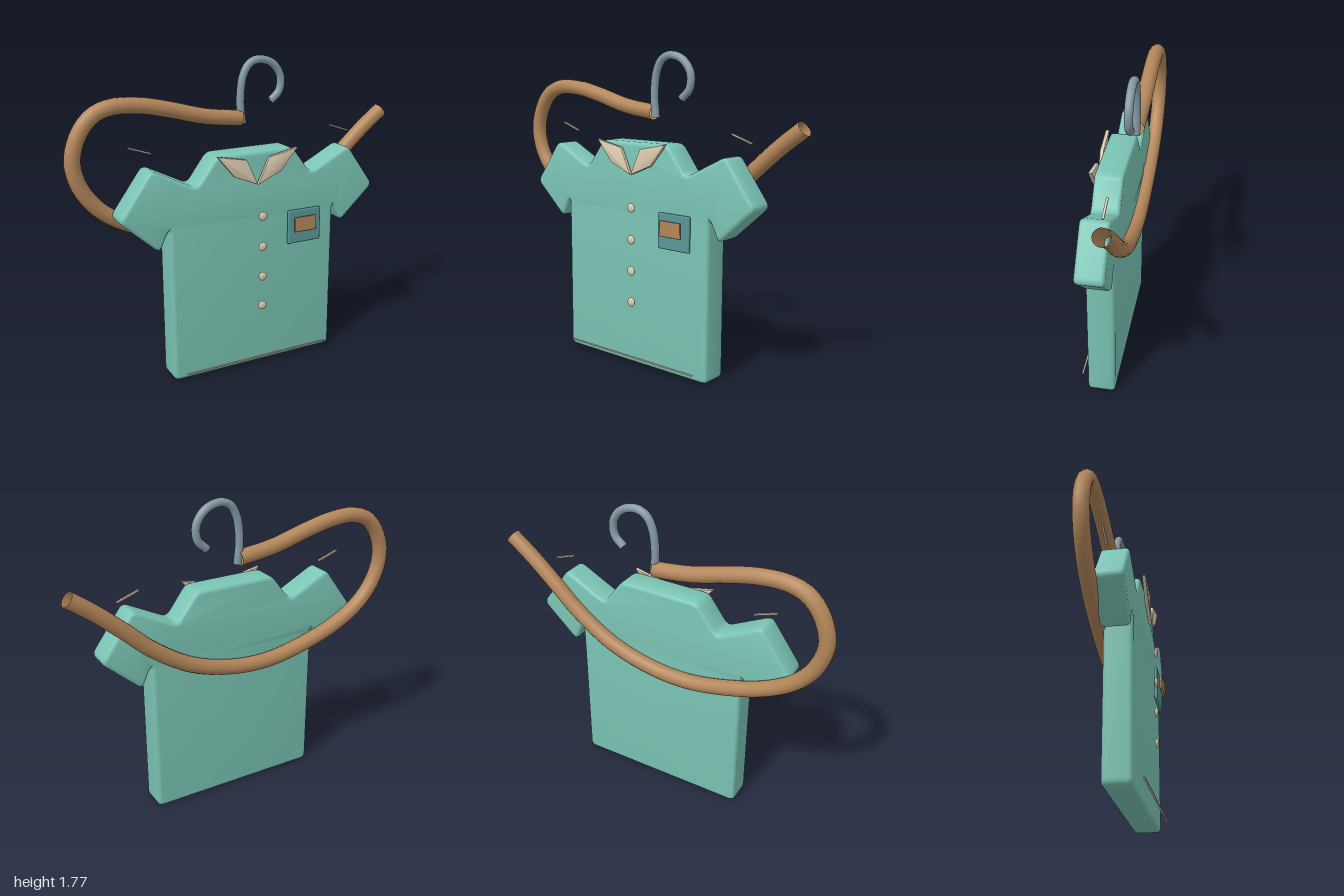
import * as THREE from 'three';
import { toCreasedNormals } from 'three/addons/utils/BufferGeometryUtils.js';
import { RoundedBoxGeometry } from 'three/addons/geometries/RoundedBoxGeometry.js';

const MID = 0.014; // centre line of the shirt

function material(name, color, side = THREE.FrontSide) {
  const m = new THREE.MeshStandardMaterial({ color, side });
  m.name = name;
  return m;
}

// Closed outline whose corners are eased by the length r
function outline(points, r) {
  const pts = points.map(([x, y]) => new THREE.Vector2(x, y));
  const shape = new THREE.Shape();
  pts.forEach((p, i) => {
    const prev = pts[(i + pts.length - 1) % pts.length];
    const next = pts[(i + 1) % pts.length];
    const a = p.clone().add(prev.clone().sub(p).setLength(r));
    const b = p.clone().add(next.clone().sub(p).setLength(r));
    if (i === 0) shape.moveTo(a.x, a.y);
    else shape.lineTo(a.x, a.y);
    shape.quadraticCurveTo(p.x, p.y, b.x, b.y);
  });
  shape.closePath();
  return shape;
}

// Extruded plate between two depths, with a soft bevel kept inside the outline
function plate(shape, z0, z1, bevel) {
  const geo = new THREE.ExtrudeGeometry(shape, {
    depth: z1 - z0 - 2 * bevel, curveSegments: 4,
    bevelThickness: bevel, bevelSize: bevel, bevelOffset: -bevel, bevelSegments: 4,
  });
  geo.translate(0, 0, z0 + bevel);
  return toCreasedNormals(geo, 0.6);
}

function tube(points, z, radius, segments) {
  const path = new THREE.CatmullRomCurve3(points.map(([x, y]) => new THREE.Vector3(x, y, z)));
  return new THREE.TubeGeometry(path, segments, radius, 14);
}

export function createModel() {
  const model = new THREE.Group();
  model.name = 'shirtOnHanger';

  const teal = material('shirtTeal', 0x7bc5b5);
  const darkTeal = material('pocketTeal', 0x5a9696);
  const cream = material('cream', 0xdccbb0);
  const wood = material('wood', 0xb3865a, THREE.DoubleSide);
  const metal = material('metal', 0x8499a3, THREE.DoubleSide);

  const add = (name, geo, mat, x = 0, y = 0, z = 0) => {
    const mesh = new THREE.Mesh(geo, mat);
    mesh.name = name;
    mesh.position.set(x, y, z);
    model.add(mesh);
    return mesh;
  };

  // Shirt body with sleeves: half outline mirrored about the centre line
  const half = [
    [0.515, 0], [0.515, 0.915], [0.575, 0.788], [0.797, 0.99],
    [0.61, 1.247], [0.357, 1.118], [0.237, 1.28],
  ];
  const full = [
    ...half.map(([x, y]) => [MID + x, y]),
    ...half.map(([x, y]) => [MID - x, y]).reverse(),
  ];
  add('shirtBody', plate(outline(full, 0.035), -0.073, 0.083, 0.022), teal);

  // Collar flaps
  const flap = [[0.247, 1.285], [0.07, 1.247], [0, 1.1], [0.144, 1.16]];
  for (const [side, name] of [[1, 'leftCollar'], [-1, 'rightCollar']]) {
    const pts = flap.map(([x, y]) => [MID + side * x, y]);
    add(name, plate(outline(pts, 0.004), 0.092, 0.114, 0.004), cream);
  }

  // Buttons
  const buttonGeo = new THREE.SphereGeometry(0.026, 20, 14).scale(1, 1, 0.42);
  for (const y of [0.92, 0.74, 0.56, 0.38]) add('button', buttonGeo, cream, 0.035, y, 0.13);

  // Chest pocket with its label
  add('pocket', new RoundedBoxGeometry(0.213, 0.198, 0.02, 3, 0.007), darkTeal, 0.318, 0.816, 0.103);
  add('pocketLabel', new RoundedBoxGeometry(0.139, 0.086, 0.016, 3, 0.005), wood, 0.312, 0.834, 0.13);

  // Hem stitch
  add('hemStitch', new THREE.BoxGeometry(0.907, 0.007, 0.009), cream, 0.014, 0.053, 0.127);

  // Sleeve stitches, both sloping the same way
  for (const x of [-0.608, 0.638]) {
    const stitch = add('sleeveStitch', new THREE.BoxGeometry(0.13, 0.008, 0.012), cream, x, 1.327, -0.05);
    stitch.rotation.z = -0.335;
  }

  // Wooden hanger arm sweeping round behind the shirt
  add('hangerArm', tube([
    [0.013, 1.435], [-0.206, 1.465], [-0.42, 1.522], [-0.58, 1.556], [-0.74, 1.56],
    [-0.84, 1.522], [-0.915, 1.433], [-0.955, 1.294], [-0.922, 1.15], [-0.82, 1.015],
    [-0.66, 0.914], [-0.47, 0.845], [-0.2, 0.79], [0.04, 0.8], [0.3, 0.875],
    [0.53, 1.02], [0.69, 1.165], [0.837, 1.294], [0.97, 1.395],
  ], -0.098, 0.044, 90), wood);

  // Metal hook
  add('hook', tube([
    [0.022, 1.405], [0.011, 1.53], [0.028, 1.665], [0.066, 1.73], [0.126, 1.752],
    [0.21, 1.727], [0.264, 1.655], [0.258, 1.57], [0.207, 1.518],
  ], -0.098, 0.023, 48), metal);

  return model;
}
